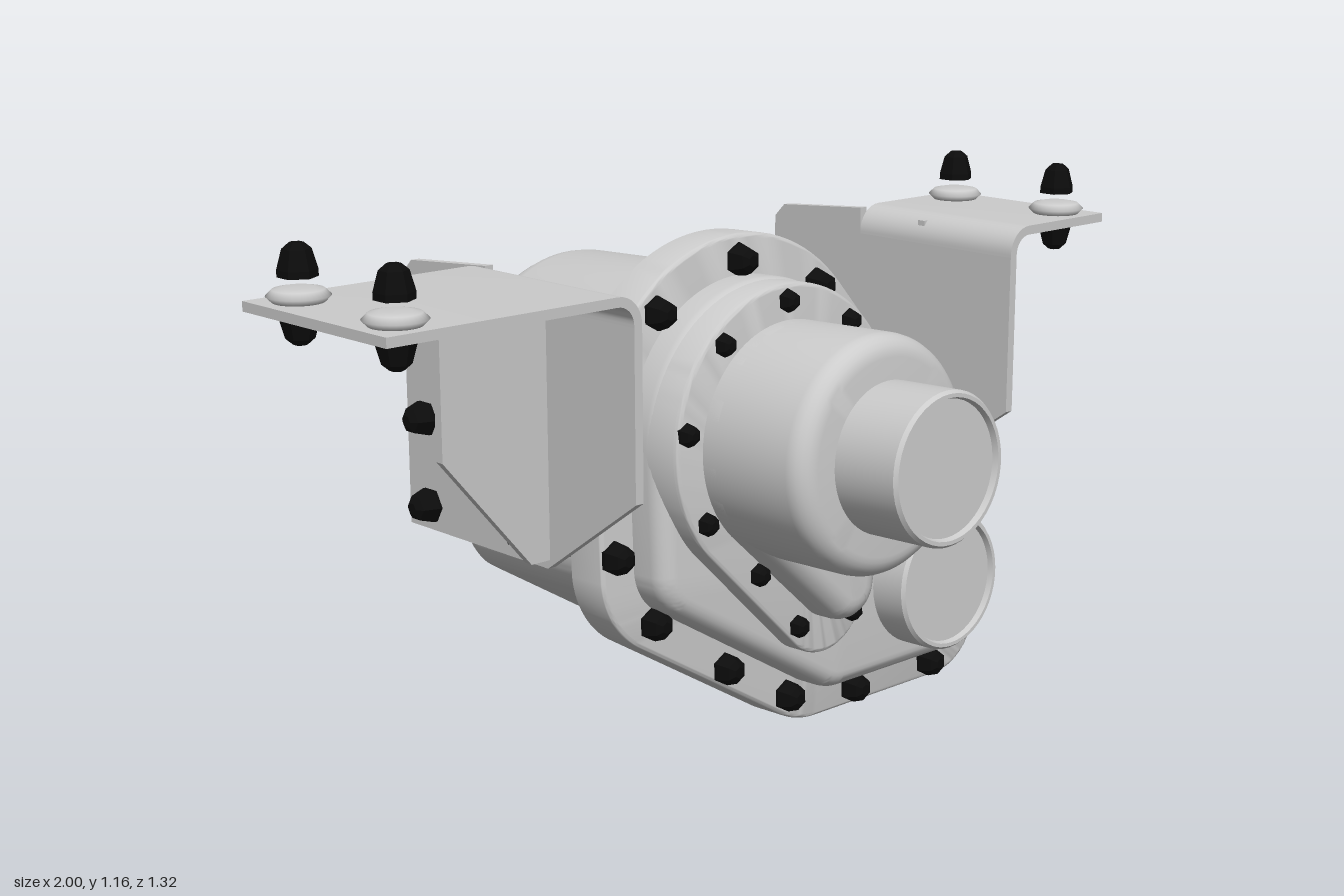
import * as THREE from 'three';
import { toCreasedNormals } from 'three/addons/utils/BufferGeometryUtils.js';
import { RoundedBoxGeometry } from 'three/addons/geometries/RoundedBoxGeometry.js';

const grey = new THREE.MeshStandardMaterial({ color: 0xcccccc });
const black = new THREE.MeshStandardMaterial({ color: 0x0c0c0c, flatShading: true });

function add(parent, name, geometry, material = grey) {
  const mesh = new THREE.Mesh(geometry, material);
  mesh.name = name;
  parent.add(mesh);
  return mesh;
}

// Casting whose outline is the convex hull of circles [x, y, r], running from z0 to z1,
// with fillet radii on its back and front edges.
function casting(circles, z0, z1, back = 0, front = 0) {
  const N = 96, profile = [];
  const fillet = (r, zEdge, sign) => {
    const steps = r > 0 ? 6 : 0, rows = [];
    for (let i = 0; i <= steps; i++) {
      const a = steps ? (i / steps) * Math.PI / 2 : 0;
      rows.push([zEdge + sign * r * (1 - Math.sin(a)), r * (1 - Math.cos(a))]);
    }
    return rows;
  };
  // each row is [z, inset]
  profile.push(...fillet(back, z0, 1).reverse(), ...fillet(front, z1, -1));
  if (back > 0 || front > 0) profile.sort((p, q) => p[0] - q[0]);

  const pos = [], index = [];
  for (const [z, inset] of profile) {
    for (let j = 0; j < N; j++) {
      const a = (j / N) * Math.PI * 2, c = Math.cos(a), s = Math.sin(a);
      let best = circles[0], reach = -Infinity;
      for (const k of circles) {
        const d = k[0] * c + k[1] * s + k[2];
        if (d > reach) { reach = d; best = k; }
      }
      pos.push(best[0] + (best[2] - inset) * c, best[1] + (best[2] - inset) * s, z);
    }
  }
  const rows = profile.length;
  for (let i = 0; i < rows - 1; i++) {
    for (let j = 0; j < N; j++) {
      const a = i * N + j, b = i * N + (j + 1) % N;
      index.push(a, b, b + N, a, b + N, a + N);
    }
  }
  // end caps
  const cx = circles.reduce((t, k) => t + k[0], 0) / circles.length;
  const cy = circles.reduce((t, k) => t + k[1], 0) / circles.length;
  const first = rows * N, last = first + 1, top = (rows - 1) * N;
  pos.push(cx, cy, z0, cx, cy, z1);
  for (let j = 0; j < N; j++) {
    const n = (j + 1) % N;
    index.push(first, n, j, last, top + j, top + n);
  }
  const g = new THREE.BufferGeometry();
  g.setAttribute('position', new THREE.Float32BufferAttribute(pos, 3));
  g.setIndex(index);
  return toCreasedNormals(g, 0.6);
}

// Turned part along z; dir = 1 faces the front, -1 the back
function turned(points, dir, x, y, z) {
  const g = new THREE.LatheGeometry(points.map(p => new THREE.Vector2(...p)), 48);
  g.rotateX(dir * Math.PI / 2).translate(x, y, z);
  return toCreasedNormals(g, 0.6);
}

// Short shaft stub with a thin rim round a recessed face
const hub = (r, h) => [[r, 0], [r, h - 0.008], [r - 0.006, h], [r - 0.014, h], [r - 0.018, h - 0.012], [0, h - 0.012]];

// Tapered hexagonal bolt head pointing along dir
function bolt(parent, x, y, z, dir, r = 0.036, h = 0.045) {
  const pts = [[0, -0.005], [r, -0.005], [r, 0.15 * h], [0.72 * r, 0.8 * h], [0.35 * r, h], [0, h]];
  const g = new THREE.LatheGeometry(pts.map(p => new THREE.Vector2(...p)), 6);
  const mesh = add(parent, 'bolt', g, black);
  mesh.quaternion.setFromUnitVectors(new THREE.Vector3(0, 1, 0), new THREE.Vector3(...dir));
  mesh.position.set(x, y, z);
}

function boltCircle(parent, cx, cy, z, radius, count, start, r) {
  for (let i = 0; i < count; i++) {
    const a = start + (i / count) * Math.PI * 2;
    bolt(parent, cx + radius * Math.cos(a), cy + radius * Math.sin(a), z, [0, 0, -1], r, 0.028);
  }
}

function gearCase() {
  const g = new THREE.Group();
  g.name = 'gearCase';
  const outline = [[0, 0.7, 0.4], [-0.2, 0.45, 0.2], [0.2, 0.205, 0.2], [0.6, 0.145, 0.14], [0.6, 0.4, 0.14]];
  const inset = d => outline.map(([x, y, r]) => [x, y, r - d]);
  add(g, 'mainFlange', casting(outline, 0.01, 0.105, 0, 0.01));
  add(g, 'rearHousing', casting(inset(0.08), -0.49, 0.02, 0.075, 0));
  add(g, 'frontCover', casting(inset(0.085), 0.1, 0.195, 0, 0.04));

  // front bearing cover, nose and shafts
  add(g, 'bearingCover', casting([[0, 0.695, 0.315], [0.09, 0.335, 0.125]], 0.1, 0.245, 0, 0.01));
  add(g, 'nose', casting([[0, 0.69, 0.245]], 0.24, 0.52, 0, 0.045));
  add(g, 'noseFoot', casting([[0, 0.69, 0.245], [0.1, 0.37, 0.08]], 0.24, 0.33, 0, 0.05));
  add(g, 'inputHub', turned(hub(0.155, 0.18), 1, 0, 0.69, 0.5));
  add(g, 'outputHub', turned(hub(0.155, 0.1), 1, 0.45, 0.295, 0.185));

  // rear covers
  add(g, 'rearStep', casting([[0, 0.69, 0.23]], -0.51, -0.47, 0.01, 0));
  add(g, 'rearBearingCover', casting([[0, 0.69, 0.215], [0.13, 0.335, 0.12]], -0.548, -0.48, 0.01, 0));
  add(g, 'rearHub', turned(hub(0.155, 0.085), -1, 0, 0.69, -0.54));
  add(g, 'outputCap', casting([[0.45, 0.285, 0.155]], -0.525, -0.47, 0.01, 0));
  const dome = (r, h) => [[r, 0], [0.97 * r, 0.3 * h], [0.85 * r, 0.68 * h], [0.68 * r, 0.92 * h], [0.45 * r, h], [0, h]];
  add(g, 'outputDome', turned(dome(0.105, 0.07), -1, 0.45, 0.285, -0.52));
  add(g, 'idlerDome', turned(dome(0.08, 0.05), -1, 0.13, 0.335, -0.545));
  boltCircle(g, 0, 0.69, -0.548, 0.187, 9, 0.3, 0.022);
  boltCircle(g, 0.45, 0.285, -0.525, 0.13, 6, 0.4, 0.018);
  boltCircle(g, 0.13, 0.335, -0.548, 0.098, 6, 0.15, 0.017);

  // bolts on the main flange and on the bearing cover
  const flangeBolts = [[0, 1.05], [0.225, 0.97], [0.415, 0.76], [0.565, 0.57], [0.69, 0.415], [0.7, 0.185], [0.565, 0.05],
    [0.315, 0.05], [0.11, 0.08], [-0.07, 0.185], [-0.27, 0.33], [-0.365, 0.49], [-0.35, 0.76], [-0.23, 0.97]];
  for (const [x, y] of flangeBolts) bolt(g, x, y - 0.004, 0.105, [0, 0, 1]);
  const coverBolts = [[0, 0.985], [0.18, 0.92], [0.275, 0.755], [0.26, 0.585], [0.23, 0.43], [0.17, 0.295],
    [0.01, 0.295], [-0.1, 0.43], [-0.24, 0.565], [-0.285, 0.755], [-0.18, 0.92]];
  for (const [x, y] of coverBolts) bolt(g, x, y - 0.01, 0.245, [0, 0, 1], 0.025, 0.025);

  // slabs reaching out to the brackets
  for (const y of [0.71, 0.52]) {
    for (const [x0, x1] of [[0.2, 0.685], [-0.415, -0.2]]) {
      add(g, 'sideBoss', new RoundedBoxGeometry(x1 - x0, 0.1, 0.51, 4, 0.04)).position.set((x0 + x1) / 2, y, -0.225);
    }
  }
  g.rotation.x = -0.04;
  return g;
}

// Angled bracket; side is +1 or -1, inner the distance of its upright, rib the gusset's width
function bracket(name, side, inner, rib) {
  const g = new THREE.Group();
  g.name = name;
  const X = u => side * (inner + u);
  const len = 1 - inner;

  // top plate with bend
  const pts = [[0, 0.99]];
  for (let i = 0; i <= 8; i++) {
    const a = Math.PI - (i / 8) * Math.PI / 2;
    pts.push([0.06 + 0.06 * Math.cos(a), 0.995 + 0.06 * Math.sin(a)]);
  }
  pts.push([len, 1.055], [len, 1.035]);
  for (let i = 0; i <= 8; i++) {
    const a = Math.PI / 2 + (i / 8) * Math.PI / 2;
    pts.push([0.06 + 0.04 * Math.cos(a), 0.995 + 0.04 * Math.sin(a)]);
  }
  pts.push([0.02, 0.99]);
  const plate = new THREE.ExtrudeGeometry(new THREE.Shape(pts.map(([u, y]) => new THREE.Vector2(X(u), y))),
    { depth: 0.455, bevelEnabled: false }).translate(0, 0, -0.233);
  add(g, 'topPlate', toCreasedNormals(plate, 0.5));

  // upright plate, points as [z, y]
  const upright = [[0.222, 0.99], [0.222, 0.64], [-0.05, 0.45], [-0.515, 0.45], [-0.515, 1.0], [-0.485, 1.03], [-0.233, 1.05], [-0.233, 0.99]];
  const wall = new THREE.ExtrudeGeometry(new THREE.Shape(upright.map(([z, y]) => new THREE.Vector2(-z, y))),
    { depth: 0.02, bevelEnabled: false }).rotateY(Math.PI / 2).translate(side > 0 ? inner : -inner - 0.02, 0, 0);
  add(g, 'uprightPlate', wall);

  // gusset
  const ribPts = [[0.01, 1.04], [rib, 1.04], [rib, 0.72], [0.068, 0.47], [0.01, 0.47]];
  add(g, 'gusset', new THREE.ExtrudeGeometry(new THREE.Shape(ribPts.map(([u, y]) => new THREE.Vector2(X(u), y))),
    { depth: 0.02, bevelEnabled: false }).translate(0, 0, -0.063));

  // bolts through the upright
  for (const [z, y] of [[-0.12, 0.71], [-0.45, 0.695], [-0.112, 0.518], [-0.44, 0.505]]) {
    bolt(g, X(0.02), y, z, [side, 0, 0], 0.039, 0.052);
  }
  // mounting bolts with washers
  for (const z of [0.147, -0.157]) {
    const x = side * 0.925;
    const washer = [[0.03, 1.052], [0.05, 1.055], [0.062, 1.067], [0.05, 1.079], [0.03, 1.083], [0, 1.083]];
    add(g, 'washer', new THREE.LatheGeometry(washer.map(p => new THREE.Vector2(...p)), 32)).position.set(x, 0, z);
    bolt(g, x, 1.107, z, [0, 1, 0], 0.039, 0.06);
    bolt(g, x, 1.033, z, [0, -1, 0], 0.039, 0.06);
  }
  return g;
}

export function createModel() {
  const model = new THREE.Group();
  model.name = 'transferGearbox';
  model.add(gearCase(), bracket('leftBracket', 1, 0.68, 0.152), bracket('rightBracket', -1, 0.407, 0.283));
  return model;
}
